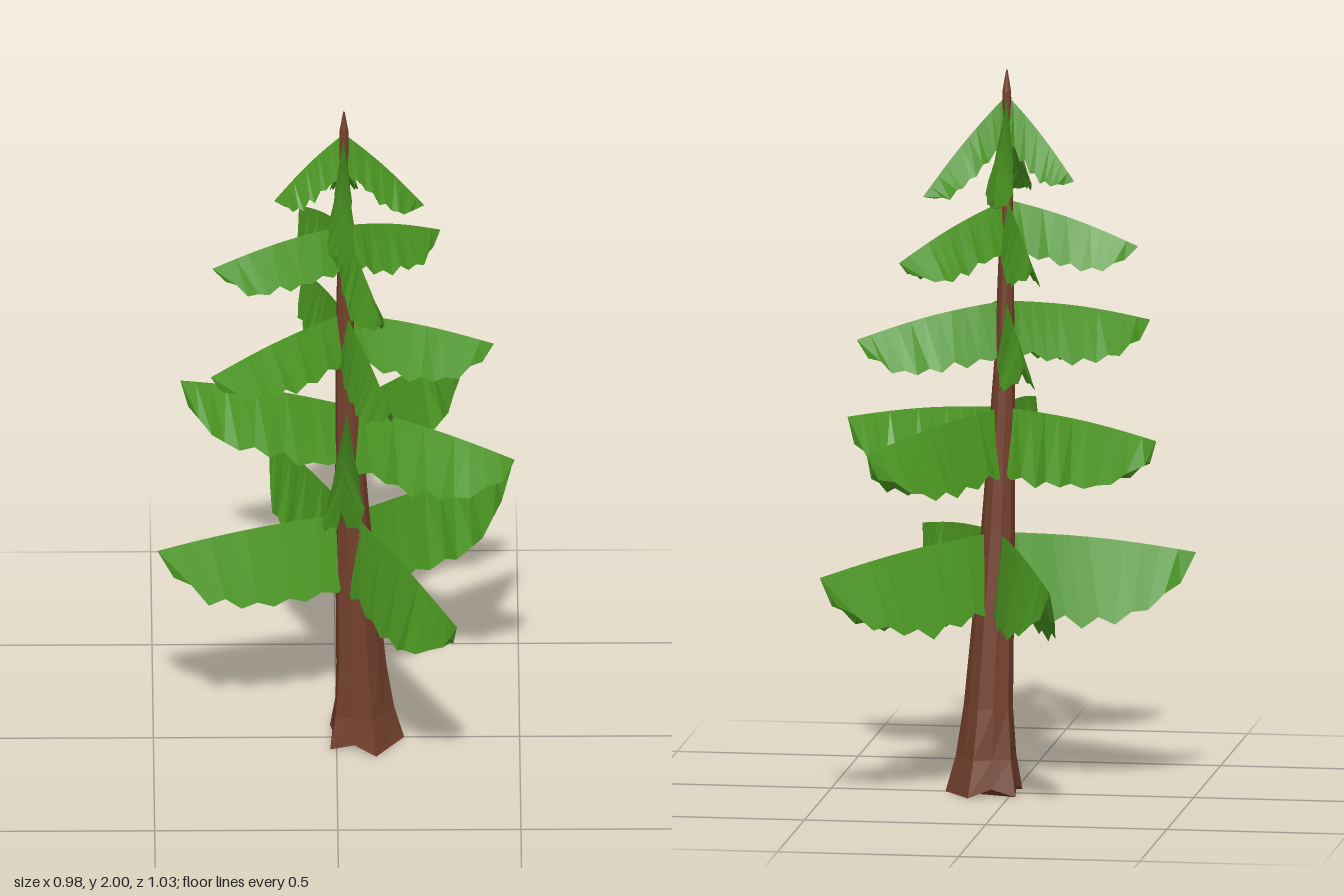
import * as THREE from 'three';

// small seeded noise in -1..1
let seed = 7;
const noise = () => {
  seed = (seed * 16807) % 2147483647;
  return (seed / 2147483647) * 2 - 1;
};

// linear lookup in a list of [key, value...] rows
function sample(rows, k) {
  let i = 0;
  while (i < rows.length - 2 && k > rows[i + 1][0]) i++;
  const a = rows[i], b = rows[i + 1];
  const f = THREE.MathUtils.clamp((k - a[0]) / (b[0] - a[0]), 0, 1);
  return a.slice(1).map((v, j) => v + (b[j + 1] - v) * f);
}

// closed skin over cross-section loops running counterclockwise seen from the far end
function loft(loops) {
  const pos = [];
  const tri = (...pts) => pts.forEach((p) => pos.push(...p));
  const n = loops[0].length;
  for (let i = 0; i < loops.length - 1; i++) {
    for (let j = 0; j < n; j++) {
      const k = (j + 1) % n;
      const a = loops[i][j], b = loops[i][k], c = loops[i + 1][k], d = loops[i + 1][j];
      tri(a, b, c);
      tri(a, c, d);
    }
  }
  const start = loops[0], end = loops[loops.length - 1];
  for (let j = 1; j < n - 1; j++) {
    tri(start[0], start[j + 1], start[j]);
    tri(end[0], end[j], end[j + 1]);
  }
  const g = new THREE.BufferGeometry();
  g.setAttribute('position', new THREE.Float32BufferAttribute(pos, 3));
  g.computeVertexNormals();
  return g;
}

// trunk rows: height, centre x, centre z, radius
const TRUNK = [
  [0.01, 0.073, 0, 0.098], [0.1, 0.069, 0.002, 0.08], [0.24, 0.064, 0.005, 0.068],
  [0.72, 0.042, 0.017, 0.047], [1.2, 0.025, 0.025, 0.028], [1.6, 0.02, 0.03, 0.018],
  [1.94, 0.02, 0.03, 0.012], [2, 0.02, 0.03, 0.002],
];

function trunkGeometry() {
  const sides = 10;
  const loops = TRUNK.map(([y, cx, cz, r], row) => {
    const flare = [0.14, 0.1, 0.05][row] ?? 0.02; // root lobes fade upwards
    return Array.from({ length: sides }, (_, j) => {
      const a = (j / sides) * Math.PI * 2;
      const lobe = j % 2 ? -flare : flare;
      const rr = r * (1 + lobe);
      const yy = row === 0 ? y + (j % 2 ? 0.012 : -0.01) : y;
      return [cx + Math.cos(a) * rr, yy, cz - Math.sin(a) * rr];
    });
  });
  return loft(loops);
}

// bough profile rows: position along, half width, hanging depth (as fractions)
const BOUGH = [
  [0, 0.35, 0.95], [0.15, 0.6, 1], [0.45, 0.88, 1], [0.7, 1, 0.88],
  [0.85, 0.85, 0.7], [1, 0.25, 0.38],
];

// folded, hollow bough: ridge on top, ragged hem on both sides
function boughGeometry(y0, depth, halfWidth, back, [tx, ty, tz]) {
  const [cx, cz] = sample(TRUNK, y0);
  const len = Math.hypot(tx - cx, tz - cz);
  const c = (tx - cx) / len, s = (tz - cz) / len;
  const place = (u, y, v) => [cx + c * u - s * v, y, cz + s * u + c * v];
  const ridgeY = (t) => y0 + (ty - y0) * t + 0.012 * Math.sin(Math.PI * t);
  const steps = 11;
  const loops = [];
  for (let i = 0; i <= steps; i++) {
    const t = i / steps;
    const [w, d] = sample(BOUGH, t);
    const tb = t * back;
    const hem = (side) => {
      const tooth = (i % 2 ? 0.06 : -0.06) + noise() * 0.05;
      const v = halfWidth * w * (1 + noise() * 0.12);
      return place(tb * len, ridgeY(tb) - depth * (d + tooth * Math.min(1, d)), side * v);
    };
    loops.push([
      place(t * len, ridgeY(t), 0),
      hem(1),
      place(tb * len, ridgeY(tb) - depth * d * 0.55, 0),
      hem(-1),
    ]);
  }
  return loft(loops);
}

// tiers from bottom to top, each with four bough tips
const TIERS = [
  { y: 0.72, depth: 0.225, width: 0.056, back: 0.92,
    tips: [[-0.49, 0.66, 0.115], [0.325, 0.65, 0.515], [-0.18, 0.65, -0.52], [0.48, 0.645, -0.35]] },
  { y: 1.065, depth: 0.185, width: 0.055, back: 0.94,
    tips: [[-0.425, 1.02, -0.19], [0.485, 0.995, 0.2], [0.01, 1.01, 0.505], [0.345, 0.995, -0.385]] },
  { y: 1.36, depth: 0.15, width: 0.047, back: 0.92,
    tips: [[-0.345, 1.28, 0.235], [0.43, 1.245, 0], [0.145, 1.26, 0.395], [-0.09, 1.25, -0.39]] },
  { y: 1.64, depth: 0.135, width: 0.042, back: 0.9,
    tips: [[-0.34, 1.515, 0.05], [0.285, 1.495, -0.19], [0.12, 1.5, 0.325], [-0.1, 1.505, -0.305]] },
  { y: 1.93, depth: 0.12, width: 0.036, back: 0.86,
    tips: [[0.24, 1.655, -0.05], [-0.17, 1.7, 0], [0.002, 1.635, 0.26], [0.022, 1.655, -0.21]] },
];

export function createModel() {
  seed = 7;
  const bark = new THREE.MeshStandardMaterial({ color: 0x74402c, flatShading: true });
  bark.name = 'bark brown';
  const needles = new THREE.MeshStandardMaterial({ color: 0x4d9a22, flatShading: true });
  needles.name = 'needle green';

  const tree = new THREE.Group();
  tree.name = 'pineTree';

  const trunk = new THREE.Mesh(trunkGeometry(), bark);
  trunk.name = 'trunk';
  tree.add(trunk);

  TIERS.forEach(({ y, depth, width, back, tips }, i) => {
    const tier = new THREE.Group();
    tier.name = `branchTier${i + 1}`;
    tips.forEach((tip, j) => {
      const bough = new THREE.Mesh(boughGeometry(y, depth, width, back, tip), needles);
      bough.name = `bough${j + 1}`;
      tier.add(bough);
    });
    tree.add(tier);
  });
  return tree;
}
